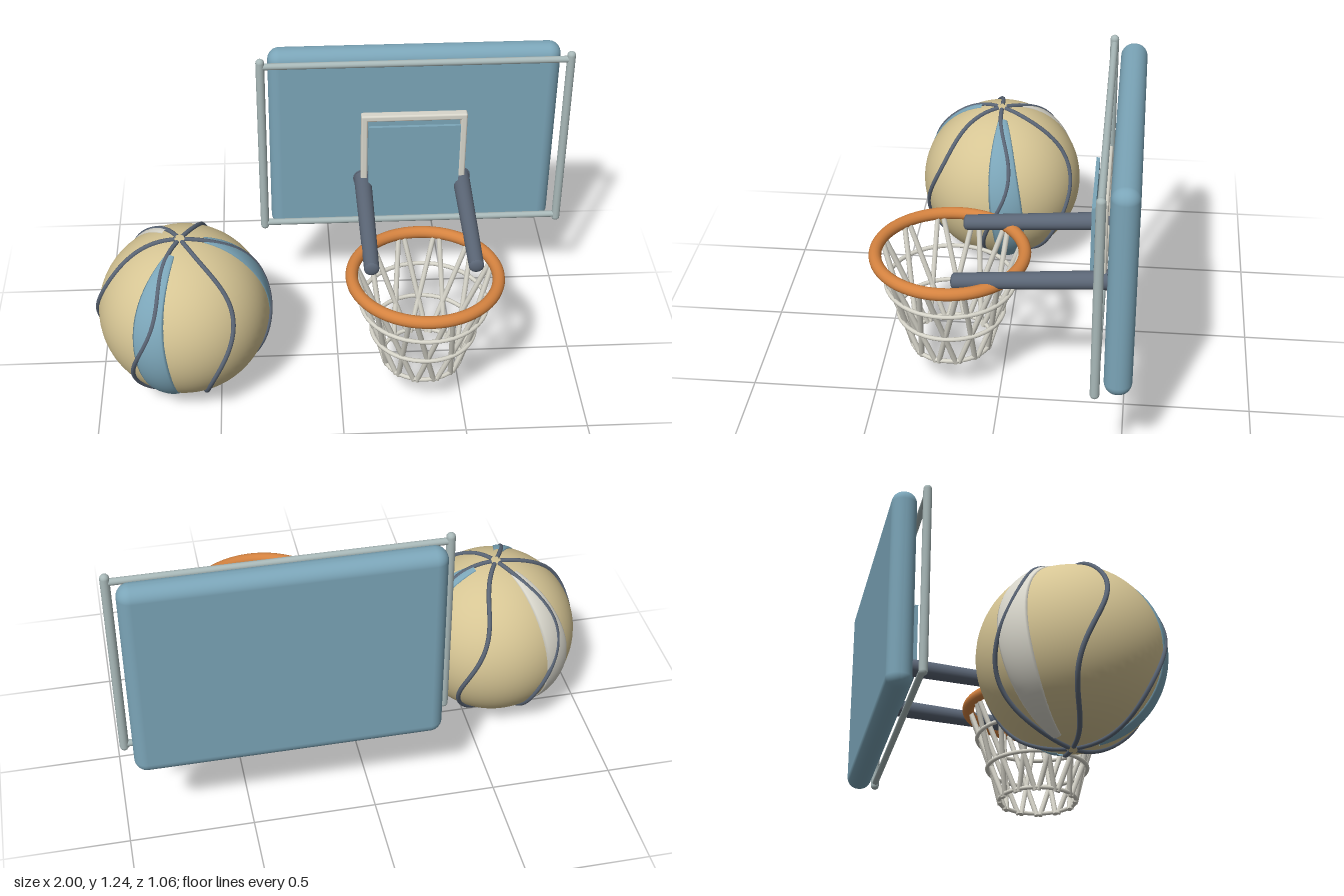
import * as THREE from 'three';
import { RoundedBoxGeometry } from 'three/addons/geometries/RoundedBoxGeometry.js';
import { ParametricGeometry } from 'three/addons/geometries/ParametricGeometry.js';

const material = (name, color, side = THREE.FrontSide) => {
  const m = new THREE.MeshStandardMaterial({ color, side });
  m.name = name;
  return m;
};

export function createModel() {
  const blue = material('blue', 0x7ba5b8, THREE.DoubleSide);
  const tan = material('tan', 0xd6c594);
  const orange = material('orange', 0xd58340);
  const slate = material('slate', 0x5b6676);
  const steel = material('pale steel', 0xa9b9b9);
  const cream = material('cream', 0xd8d6cb, THREE.DoubleSide);

  const model = new THREE.Group();
  model.name = 'hoopAndBall';
  const V = (x, y, z) => new THREE.Vector3(x, y, z);

  const add = (parent, name, geometry, mat, x = 0, y = 0, z = 0) => {
    const mesh = new THREE.Mesh(geometry, mat);
    mesh.name = name;
    mesh.position.set(x, y, z);
    parent.add(mesh);
    return mesh;
  };

  // Straight round bar from a to b, optionally tapered
  const rod = (parent, name, mat, a, b, ra, rb = ra, sides = 12) => {
    const dir = b.clone().sub(a);
    const mesh = add(parent, name, new THREE.CylinderGeometry(rb, ra, dir.length(), sides), mat);
    mesh.position.copy(a).add(b).multiplyScalar(0.5);
    mesh.quaternion.setFromUnitVectors(V(0, 1, 0), dir.normalize());
    return mesh;
  };

  // Backboard slab
  const cx = 0.34;
  add(model, 'backboard', new RoundedBoxGeometry(1.215, 0.875, 0.105, 6, 0.05), blue, cx, 0.808, -0.478);

  // Tubular frame in front of the board
  const frame = new THREE.Group();
  frame.name = 'boardFrame';
  model.add(frame);
  for (const s of [-1, 1]) {
    add(frame, 'framePost', new THREE.CapsuleGeometry(0.018, 0.81, 4, 14), steel, cx + s * 0.638, 0.823, -0.396);
  }
  for (const y of [0.43, 1.21]) {
    rod(frame, 'frameRail', steel, V(cx - 0.638, y, -0.396), V(cx + 0.638, y, -0.396), 0.014);
  }

  // Target rectangle with its inner panel
  const target = new THREE.Group();
  target.name = 'target';
  model.add(target);
  for (const s of [-1, 1]) {
    add(target, 'targetSide', new RoundedBoxGeometry(0.028, 0.365, 0.04, 3, 0.008), cream, cx + s * 0.209, 0.787, -0.394);
    add(target, 'targetBar', new RoundedBoxGeometry(0.446, 0.028, 0.04, 3, 0.008), cream, cx, 0.787 + s * 0.169, -0.394);
  }
  add(target, 'targetPanel', new THREE.BoxGeometry(0.385, 0.31, 0.014), blue, cx, 0.775, -0.358);

  // Support arms with small mounting plates
  for (const s of [-1, 1]) {
    const x = cx + s * 0.212;
    rod(model, 'supportArm', slate, V(x, 0.63, -0.42), V(x, 0.59, 0.165), 0.037, 0.031, 20);
    add(model, 'armTip', new THREE.SphereGeometry(0.031, 20, 12), slate, x, 0.59, 0.165).scale.z = 0.45;
    rod(model, 'armPlate', slate, V(x, 0.63, -0.432), V(x, 0.63, -0.418), 0.041, 0.041, 20);
  }

  // Rim
  const hoop = new THREE.Group();
  hoop.name = 'hoop';
  hoop.position.set(cx, 0, 0.207);
  model.add(hoop);
  add(hoop, 'rim', new THREE.TorusGeometry(0.295, 0.025, 16, 64), orange, 0, 0.58, 0).rotation.x = Math.PI / 2;

  // Net rings and crossing strands
  const polar = (r, a, y) => V(r * Math.sin(a), y, r * Math.cos(a));
  for (const [r, y] of [[0.256, 0.447], [0.212, 0.31], [0.162, 0.168]]) {
    add(hoop, 'netRing', new THREE.TorusGeometry(r, 0.009, 8, 48), cream, 0, y, 0).rotation.x = Math.PI / 2;
  }
  const strands = 12;
  for (let i = 0; i < strands; i++) {
    const a = (i / strands) * Math.PI * 2;
    for (const twist of [-0.22, 0.22]) {
      rod(hoop, 'netStrand', cream, polar(0.284, a - twist, 0.57), polar(0.158, a + twist, 0.157), 0.011, 0.011, 8);
    }
  }

  // Ball
  const R = 0.35;
  const deg = Math.PI / 180;
  const ball = new THREE.Group();
  ball.name = 'ball';
  ball.position.set(-0.638, 0.363, 0.096);
  model.add(ball);
  add(ball, 'ballBody', new THREE.SphereGeometry(R, 64, 40), tan);
  const onBall = (r, lon, lat) => polar(r * Math.cos(lat), lon, r * Math.sin(lat));

  // S-shaped seams running from pole to pole
  for (let i = 0; i < 6; i++) {
    const points = [];
    for (let k = 0; k <= 24; k++) {
      const lat = (-87 + 174 * k / 24) * deg;
      const lon = (30 + 60 * i + 14 * Math.sin(2 * lat) * Math.cos(lat)) * deg;
      points.push(onBall(R + 0.003, lon, lat));
    }
    const curve = new THREE.CatmullRomCurve3(points);
    add(ball, 'ballSeam', new THREE.TubeGeometry(curve, 60, 0.0095, 8), slate);
  }

  // Raised coloured gores, a third of a turn apart
  [[-21.5, blue], [98.5, blue], [-141.5, cream]].forEach(([base, mat]) => {
    const gore = new ParametricGeometry((u, v, out) => {
      const lat = (-74 + 148 * v) * deg;
      const lon = (base - 3 * Math.sin(2 * lat) + 24 * (u - 0.5)) * deg;
      const bulge = Math.sqrt(Math.max(0, Math.sin(Math.PI * u)));
      out.copy(onBall(R - 0.001 + 0.009 * bulge, lon, lat));
    }, 12, 32);
    add(ball, 'ballGore', gore, mat);
  });

  return model;
}
